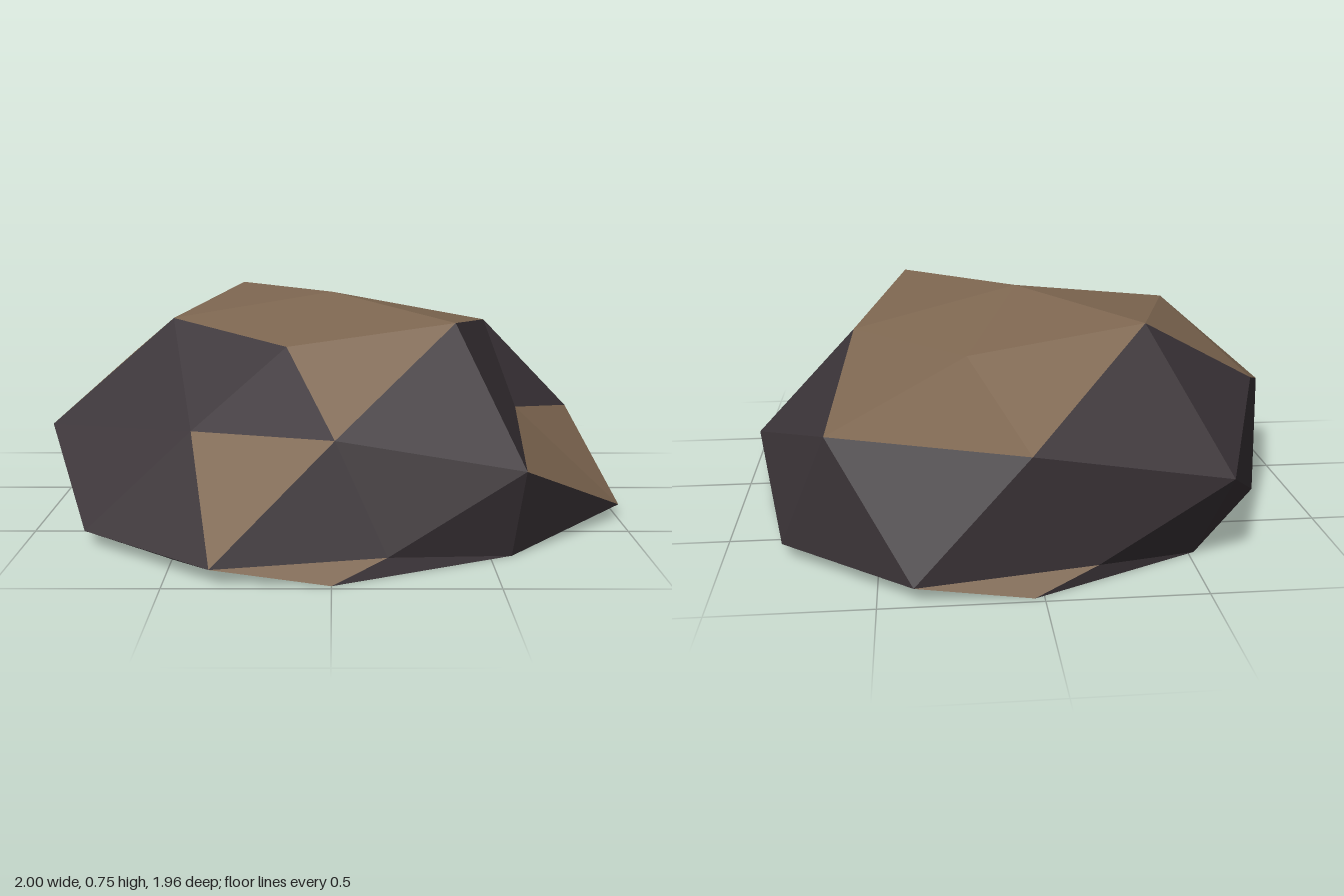
import * as THREE from 'three';

// Faceted boulder: stacked rings of corners, listed counter-clockwise seen from above.
const apex = [0, 0.75, -0.02];
const crown = [
  [0.4, 0.71, 0.51], [0.58, 0.63, -0.14], [0.2, 0.61, -0.46],
  [-0.37, 0.73, -0.55], [-0.57, 0.67, 0.11], [-0.15, 0.62, 0.44],
];
const shoulder = [
  [0.6, 0.29, 0.78], [0.65, 0.37, 0.23], [0.92, 0.28, -0.2], [0.65, 0.45, -0.75], [0.03, 0.42, -0.9],
  [-0.6, 0.31, -0.86], [-0.8, 0.47, -0.33], [-1, 0.3, 0.2], [-0.46, 0.36, 0.55], [0.01, 0.39, 0.79],
];
// The foot touches the ground; four of its corners also belong to the skirt.
const foot = [
  [0, 0, 0.98], [0.57, 0, 0.73], [0.89, 0, -0.2], [0.48, 0, -0.8],
  [0.03, 0, -0.98], [-0.52, 0, -0.72], [-0.78, 0, 0.19], [-0.49, 0, 0.77],
];
const skirt = [
  [0.17, 0.05, 0.88], foot[1], [1, 0.05, 0.36], foot[2], [0.81, 0.05, -0.64], [0.39, 0.05, -0.98],
  [-0.18, 0.05, -0.88], foot[5], [-0.83, 0.05, -0.34], foot[6], [-0.8, 0.05, 0.64], [-0.36, 0.05, 0.98],
];

export function createModel() {
  const earth = [], stone = [];
  const addFace = (list, a, b, c) => {
    if (a !== b && b !== c && c !== a) list.push(...a, ...b, ...c);
  };

  // Joins two rings: o steps along the lower ring, i along the upper; capitals are earth-coloured.
  const stitch = (upper, lower, steps) => {
    let i = 0, j = 0;
    for (const step of steps) {
      const list = step === step.toUpperCase() ? earth : stone;
      const a = upper[i % upper.length], b = lower[j % lower.length];
      const next = step.toLowerCase() === 'o' ? lower[++j % lower.length] : upper[++i % upper.length];
      addFace(list, a, b, next);
    }
  };

  // Top cap
  crown.forEach((p, k) => addFace(earth, apex, p, crown[(k + 1) % crown.length]));
  // Sides
  stitch(crown, shoulder, 'oiooIOIooIOoioIo');
  stitch(shoulder, skirt, 'ooIIooioioiooiiooioIoi');
  stitch(skirt, foot, 'oiioioiioIoiioioiioI');
  // Flat underside
  const centre = [0, 0, 0];
  foot.forEach((p, k) => addFace(stone, centre, foot[(k + 1) % foot.length], p));

  const model = new THREE.Group();
  model.name = 'boulder';
  const addPart = (name, positions, color) => {
    const geometry = new THREE.BufferGeometry();
    geometry.setAttribute('position', new THREE.Float32BufferAttribute(positions, 3));
    geometry.computeVertexNormals();
    const mesh = new THREE.Mesh(geometry, new THREE.MeshStandardMaterial({ color, flatShading: true }));
    mesh.name = name;
    model.add(mesh);
  };
  addPart('earthFacets', earth, 0x7d6650);
  addPart('stoneFacets', stone, 0x3a3337);
  return model;
}
